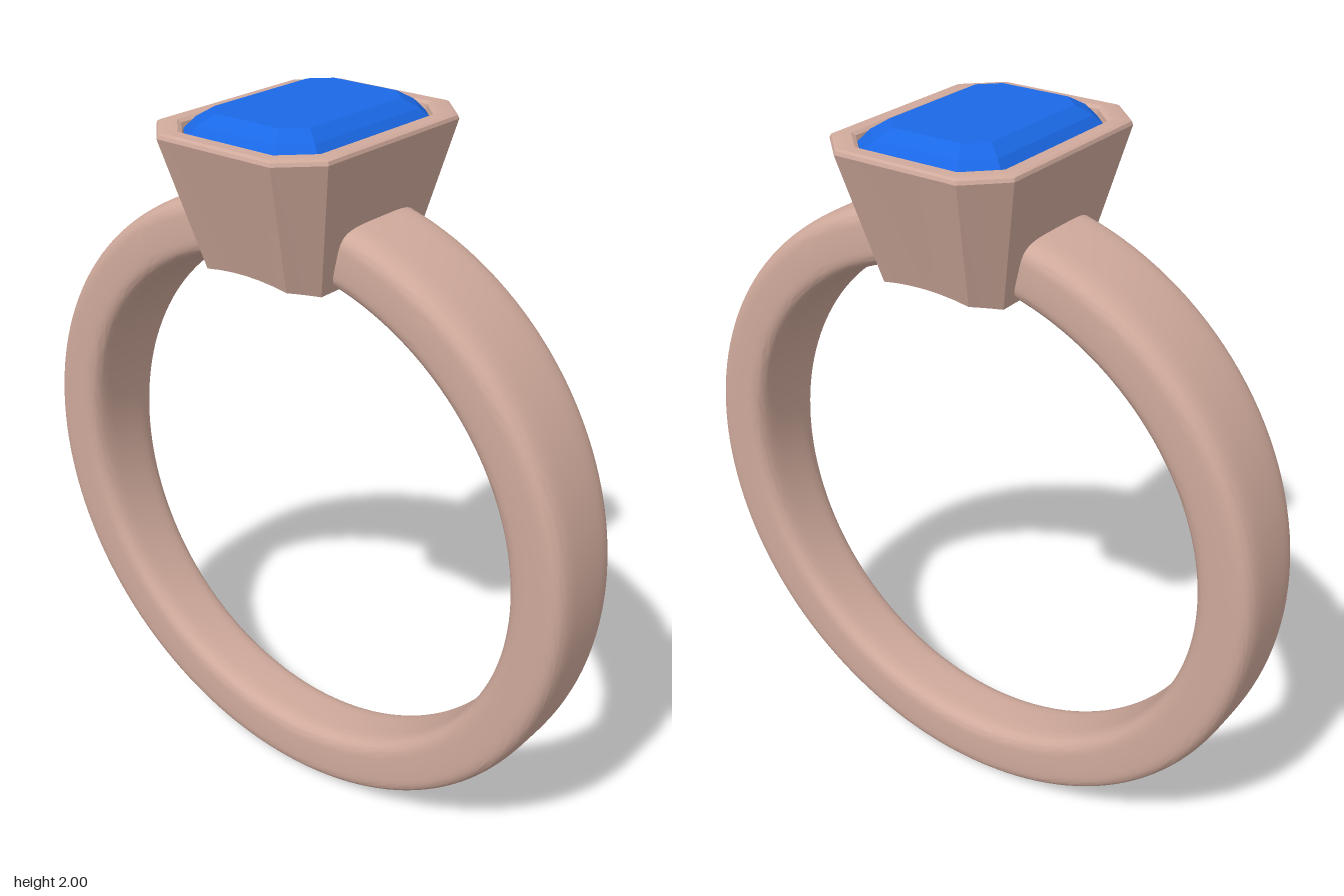
import * as THREE from 'three';
import { toCreasedNormals } from 'three/addons/utils/BufferGeometryUtils.js';

const CENTRE_Y = 0.896, R_IN = 0.7225, R_OUT = 0.891;

// Skin a list of closed cross-sections (arrays of [x, y, z])
function loft(sections, crease) {
  const n = sections[0].length, index = [];
  for (let i = 0; i < sections.length - 1; i++) {
    for (let j = 0; j < n; j++) {
      const k = (j + 1) % n;
      const a = i * n + j, b = i * n + k, d = a + n, c = b + n;
      index.push(a, d, c, a, c, b);
    }
  }
  const geo = new THREE.BufferGeometry();
  geo.setAttribute('position', new THREE.Float32BufferAttribute(sections.flat(2), 3));
  geo.setIndex(index);
  return toCreasedNormals(geo, crease);
}

// Rectangle with cut corners, each side split in `split` steps; y may follow x
function cutRect(hx, hz, cut, y, split = 1) {
  const corners = [
    [hx, -hz + cut], [hx, hz - cut], [hx - cut, hz], [-hx + cut, hz],
    [-hx, hz - cut], [-hx, -hz + cut], [-hx + cut, -hz], [hx - cut, -hz],
  ];
  const out = [];
  corners.forEach(([x0, z0], i) => {
    const [x1, z1] = corners[(i + 1) % 8];
    for (let s = 0; s < split; s++) {
      const t = s / split, x = x0 + (x1 - x0) * t;
      out.push([x, typeof y === 'function' ? y(x) : y, z0 + (z1 - z0) * t]);
    }
  });
  return out;
}

// Tapering band with a soft rectangular section, open under the setting
function bandGeometry() {
  const gap = 0.22, steps = 140, around = 56, sections = [];
  const soft = (v) => Math.sign(v) * Math.pow(Math.abs(v), 2 / 4.5);
  const rMid = (R_IN + R_OUT) / 2, rHalf = (R_OUT - R_IN) / 2;
  const section = (t, scale) => {
    const a = gap + (2 * Math.PI - 2 * gap) * t;
    const half = 0.094 + 0.033 * (CENTRE_Y + rMid * Math.cos(a));
    return Array.from({ length: around }, (_, j) => {
      const p = (j / around) * Math.PI * 2;
      const r = rMid + rHalf * soft(Math.cos(p)) * scale;
      return [r * Math.sin(a), CENTRE_Y + r * Math.cos(a), -half * soft(Math.sin(p)) * scale];
    });
  };
  sections.push(section(0, 0));
  for (let i = 0; i <= steps; i++) sections.push(section(i / steps, 1));
  sections.push(section(1, 0));
  return loft(sections, 0.9);
}

// Hollow flared setting; its underside follows the finger hole
function settingGeometry() {
  const split = 6;
  const under = (x) => CENTRE_Y + Math.sqrt(R_IN * R_IN - x * x);
  const levels = [
    [0.19, 0.24, 0.06, under],
    [0.268, 0.346, 0.092, 1.94],
    [0.271, 0.35, 0.094, 1.952],
    [0.268, 0.347, 0.093, 1.961],
    [0.26, 0.339, 0.09, 1.965],
    [0.226, 0.306, 0.077, 1.965],
    [0.217, 0.297, 0.074, 1.958],
    [0.214, 0.294, 0.073, 1.94],
    [0.125, 0.17, 0.045, under],
    [0.19, 0.24, 0.06, under],
  ];
  return loft(levels.map((l) => cutRect(...l, split)), 0.45);
}

// Step-cut stone, from the point below to the flat table on top
function gemGeometry() {
  const levels = [
    [0, 0, 0, 1.76],
    [0.08, 0.13, 0.025, 1.79],
    [0.15, 0.22, 0.05, 1.85],
    [0.213, 0.293, 0.072, 1.92],
    [0.213, 0.293, 0.072, 1.945],
    [0.187, 0.267, 0.064, 1.975],
    [0.15, 0.225, 0.05, 2.0],
    [0, 0, 0, 2.0],
  ];
  return loft(levels.map((l) => cutRect(...l)), 0.05);
}

export function createModel() {
  const group = new THREE.Group();
  group.name = 'gemRing';
  const metal = new THREE.MeshStandardMaterial({ color: 0xd0aa9c });
  const stone = new THREE.MeshStandardMaterial({ color: 0x1a68e6 });
  const add = (name, geo, mat) => {
    const mesh = new THREE.Mesh(geo, mat);
    mesh.name = name;
    group.add(mesh);
  };
  add('band', bandGeometry(), metal);
  add('setting', settingGeometry(), metal);
  add('gem', gemGeometry(), stone);
  return group;
}
